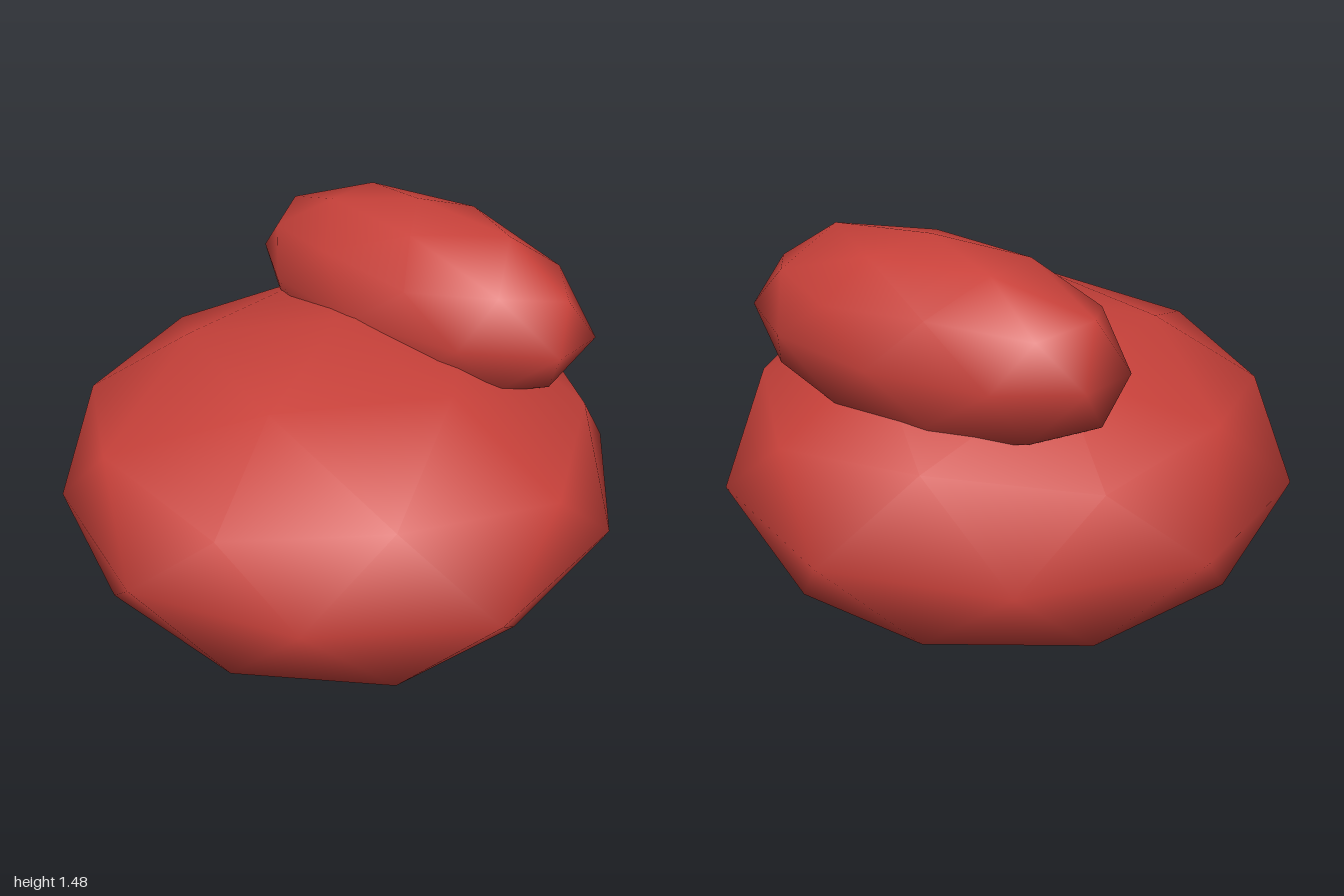
import * as THREE from 'three';
import { mergeVertices } from 'three/addons/utils/BufferGeometryUtils.js';

// Smooth low-poly ellipsoid: an 80-face icosphere with a pole on +y.
// Each point in "pulls" draws its nearest vertex to itself, for a hand-shaped outline.
function blob(center, radii, pulls) {
  let g = new THREE.IcosahedronGeometry(1, 1);
  g.deleteAttribute('uv');
  g.deleteAttribute('normal');
  g = mergeVertices(g, 1e-4);
  g.rotateZ(-Math.atan(2 / (1 + Math.sqrt(5))));
  g.scale(...radii);
  g.translate(...center);
  const pos = g.attributes.position;
  const v = new THREE.Vector3();
  for (const p of pulls) {
    const target = new THREE.Vector3(...p);
    let best = 0, bestDistance = Infinity;
    for (let i = 0; i < pos.count; i++) {
      const d = v.fromBufferAttribute(pos, i).distanceTo(target);
      if (d < bestDistance) { bestDistance = d; best = i; }
    }
    pos.setXYZ(best, ...p);
  }
  g.computeVertexNormals();
  return g;
}

export function createModel() {
  const group = new THREE.Group();
  const red = new THREE.MeshStandardMaterial({ color: 0xc8413a });
  red.name = 'red';

  const add = (name, geometry) => {
    const mesh = new THREE.Mesh(geometry, red);
    mesh.name = name;
    group.add(mesh);
  };

  // Wide, flattened main body
  add('body', blob([0, 0.587, 0.015], [1, 0.583, 1], [
    // widest ring
    [0.97, 0.585, 0.34], [0.95, 0.585, -0.29], [0.55, 0.585, 0.79], [0.6, 0.585, -0.79],
    [-0.97, 0.585, 0.34], [-0.97, 0.585, -0.29], [-0.58, 0.585, 0.82], [-0.59, 0.585, -0.79],
    [0, 0.585, 1], [0, 0.585, -1],
    // poles and shoulders
    [0, 1.17, 0.03], [0, 0.005, 0.03], [0.93, 0.86, 0.02], [-0.83, 0.89, 0.02],
    [0.81, 0.28, 0.02], [-0.89, 0.31, 0.02], [0.5, 1.065, 0.02], [-0.53, 0.06, 0.02],
    [-0.26, 0.9, 0.85], [-0.26, 0.9, -0.8],
  ]));

  // Long rounded roll resting on the back of the body
  add('upperRoll', blob([0, 1.145, -0.385], [0.705, 0.34, 0.35], [
    [0.69, 1.145, -0.5], [0.69, 1.145, -0.29], [-0.64, 1.145, -0.5], [-0.67, 1.145, -0.29],
    [0.39, 1.455, -0.39], [0.64, 1.3, -0.39], [-0.6, 1.33, -0.39],
  ]));

  return group;
}
